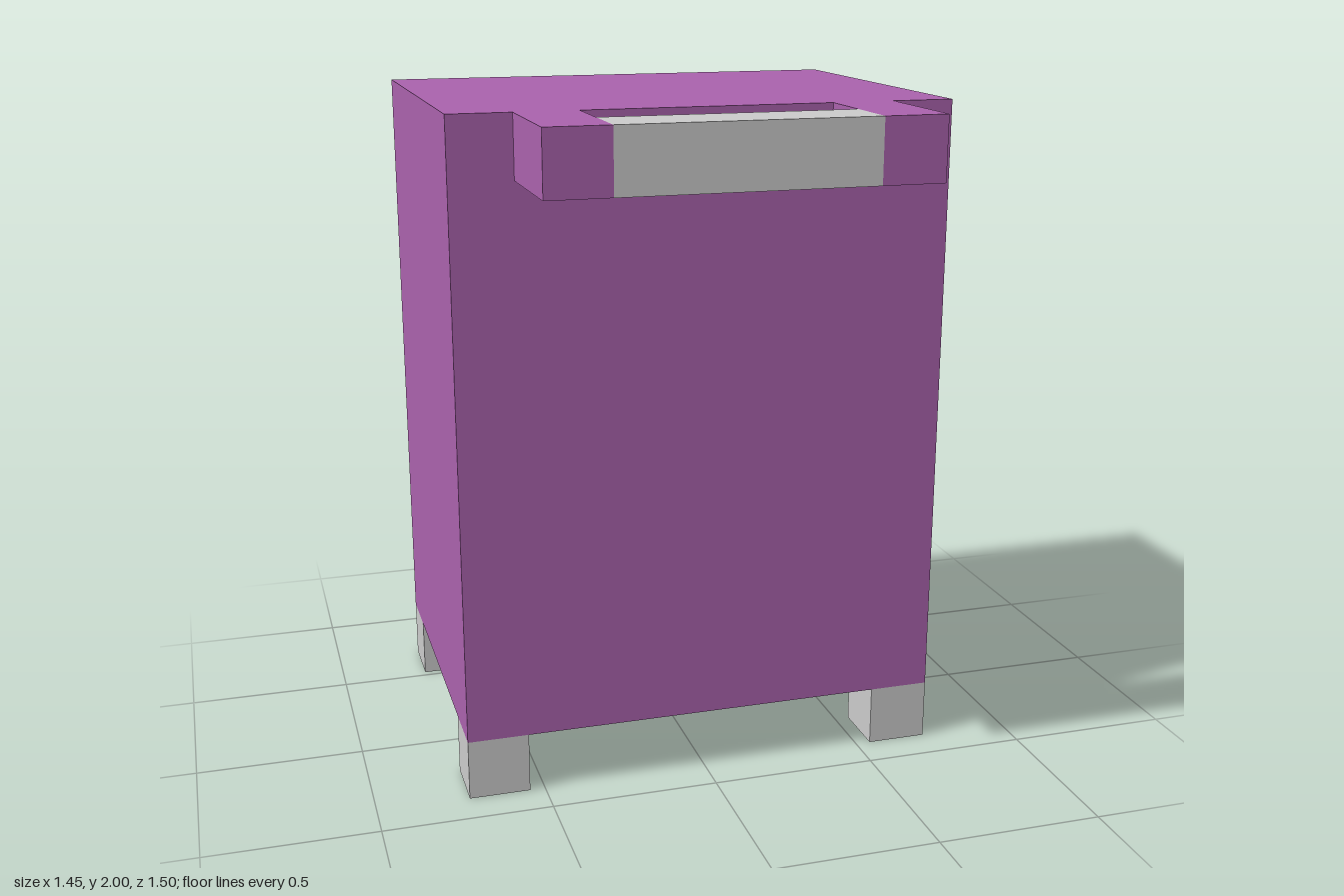
import * as THREE from 'three';

export function createModel() {
  const group = new THREE.Group();
  const U = 2 / 11;      // main module
  const T = U / 4;       // groove width and depth
  const W = 4 * U;       // half width of the body
  const BACK = -0.705, FRONT = BACK + 6 * U;
  const purple = new THREE.MeshStandardMaterial({ color: 0xaa62ad, flatShading: true });
  const grey = new THREE.MeshStandardMaterial({ color: 0xcccccc, flatShading: true });

  // Box given by its two opposite corners
  const box = (name, material, [x0, y0, z0], [x1, y1, z1]) => {
    const mesh = new THREE.Mesh(new THREE.BoxGeometry(x1 - x0, y1 - y0, z1 - z0), material);
    mesh.position.set((x0 + x1) / 2, (y0 + y1) / 2, (z0 + z1) / 2);
    mesh.name = name;
    group.add(mesh);
  };

  // Cabinet body
  box('body', purple, [-W, U, BACK + T], [W, 2, FRONT]);

  // Back panel pierced by the I-shaped door groove
  const points = (list) => list.map(([x, y]) => new THREE.Vector2(x, y));
  const low = 2 * U, high = 10 * U, end = 3 * U;
  const groove = points([
    [-end, low - T], [end, low - T], [end, low], [0, low],
    [0, high - T], [end, high - T], [end, high], [-end, high],
    [-end, high - T], [-T, high - T], [-T, low], [-end, low],
  ]);
  const panelShape = new THREE.Shape(points([[-W, U], [W, U], [W, 2], [-W, 2]]));
  panelShape.holes.push(new THREE.Path(groove));
  const panel = new THREE.Mesh(
    new THREE.ExtrudeGeometry(panelShape, { depth: T, bevelEnabled: false }), purple);
  panel.position.z = BACK;
  panel.name = 'backPanel';
  group.add(panel);

  // Grey floor of the groove
  const floor = new THREE.Mesh(
    new THREE.ExtrudeGeometry(new THREE.Shape(groove), { depth: 0.002, bevelEnabled: false }), grey);
  floor.position.z = BACK + T - 0.002;
  floor.name = 'grooveFloor';
  group.add(floor);

  // Door latch
  box('latch', grey, [-T, 1 - T, BACK - T], [2 * T, 1, BACK]);
  box('latchStem', grey, [-T, 1 - T, BACK], [0, 1, BACK + T]);

  // Push handle: two arms and a grip
  for (const x of [-3 * U, 2 * U]) {
    box('handleArm', purple, [x, 10 * U, FRONT], [x + U, 2, FRONT + 2 * U]);
  }
  box('handleGrip', grey, [-2 * U, 10 * U, FRONT + U], [2 * U, 2, FRONT + 2 * U]);

  // Four feet
  for (const x of [-W, W - U]) {
    for (const z of [BACK, FRONT - U]) box('foot', grey, [x, 0, z], [x + U, U, z + U]);
  }
  return group;
}
